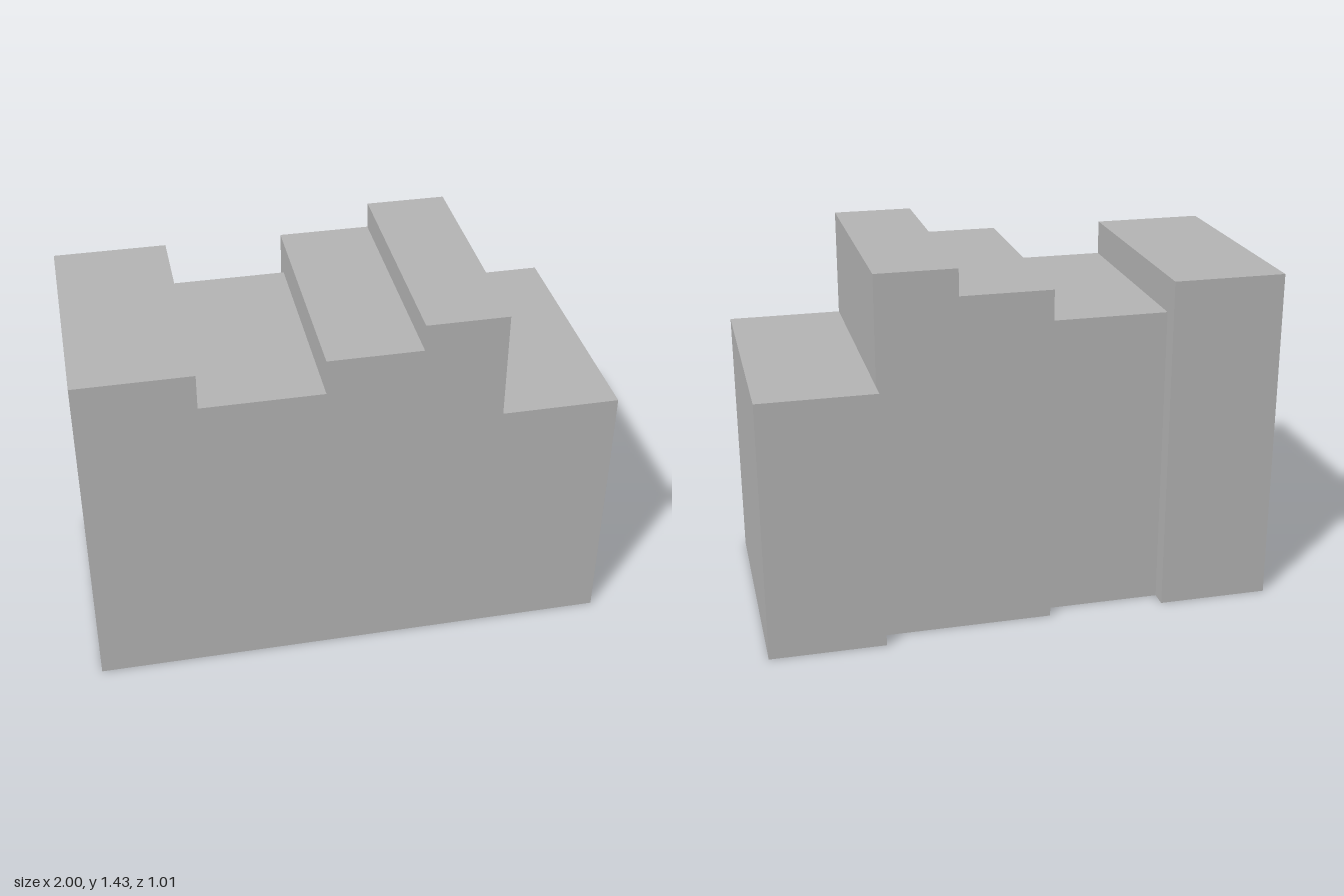
import * as THREE from 'three';

export function createModel() {
  const group = new THREE.Group();
  group.name = 'buildingRow';
  const grey = new THREE.MeshStandardMaterial({ color: 0xb2b2b2 });
  grey.name = 'plainGrey';

  // Adjoining blocks share one front plane; heights and rear depths step.
  const front = 0.505;
  const blocks = [
    // name, left x, right x, height, back z
    ['rightEndBlock', -1, -0.565, 1.33, -0.437],
    ['lowMiddleBlock', -0.565, -0.107, 1.193, -0.37],
    ['middleBlock', -0.107, 0.247, 1.33, -0.43],
    ['tallBlock', 0.247, 0.555, 1.433, -0.43],
    ['leftEndBlock', 0.555, 1, 1.015, -0.505],
  ];
  for (const [name, x0, x1, height, back] of blocks) {
    const mesh = new THREE.Mesh(new THREE.BoxGeometry(x1 - x0, height, front - back), grey);
    mesh.name = name;
    mesh.position.set((x0 + x1) / 2, height / 2, (front + back) / 2);
    group.add(mesh);
  }
  return group;
}
